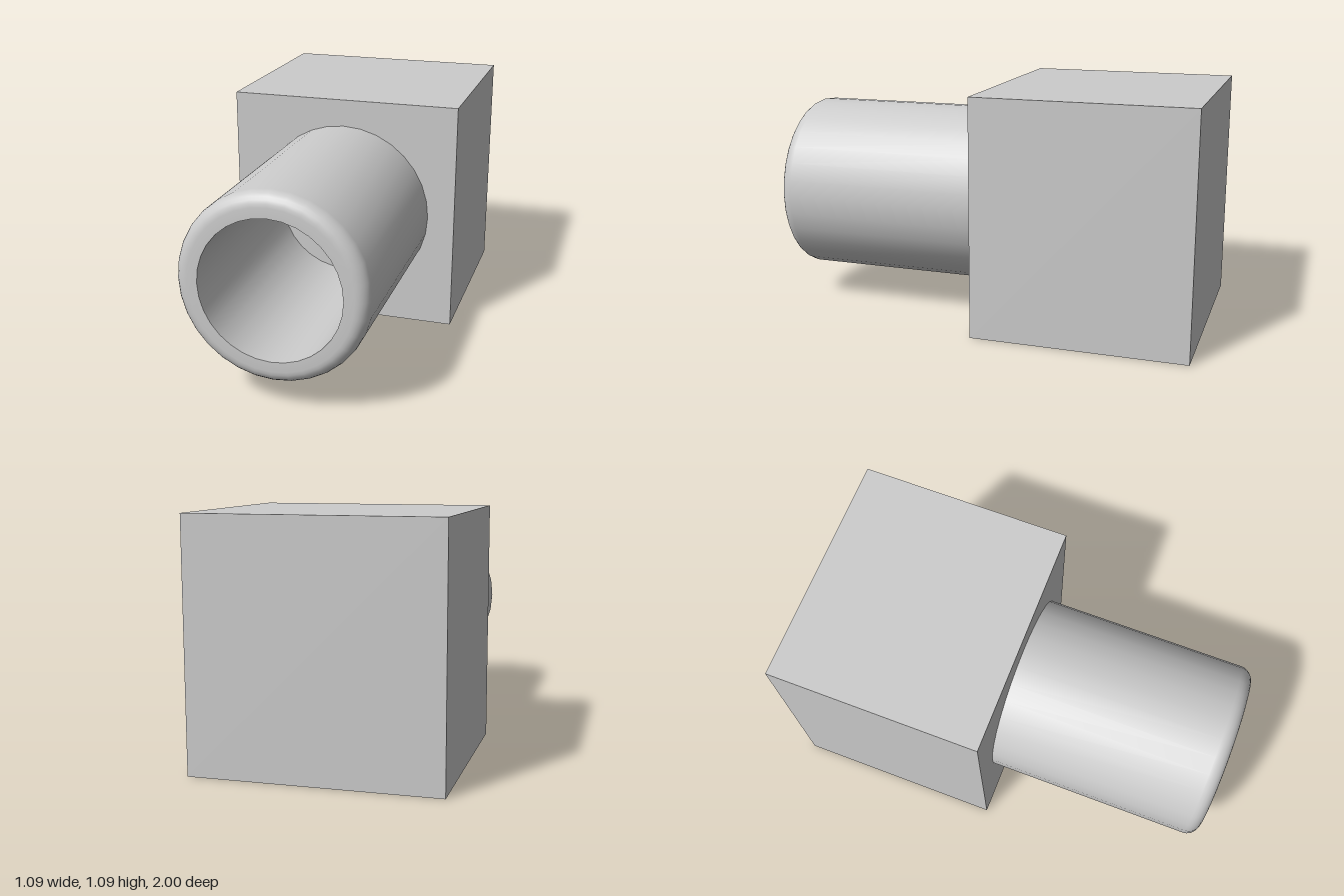
import * as THREE from 'three';
import { toCreasedNormals } from 'three/addons/utils/BufferGeometryUtils.js';

const SIZE = 1.09;       // width and height of the block
const BACK = -1, FACE = -0.015, TIP = 1;
const OUTER = 0.418, BORE = 0.313, ROUND = 0.06;

export function createModel() {
  const group = new THREE.Group();
  const material = new THREE.MeshStandardMaterial({ color: 0xcccccc });

  // Square block, whose front face closes the bore
  const block = new THREE.Mesh(new THREE.BoxGeometry(SIZE, SIZE, FACE - BACK), material);
  block.name = 'block';
  block.position.set(0, SIZE / 2, (FACE + BACK) / 2);
  group.add(block);

  // Hollow tube: outer wall, rounded lip, flat rim, then bore wall
  const profile = [new THREE.Vector2(OUTER, FACE)];
  const steps = 6;
  for (let i = 0; i <= steps; i++) {
    const a = (i / steps) * Math.PI / 2;
    profile.push(new THREE.Vector2(
      OUTER - ROUND + ROUND * Math.cos(a),
      TIP - ROUND + ROUND * Math.sin(a)
    ));
  }
  profile.push(new THREE.Vector2(BORE, TIP), new THREE.Vector2(BORE, FACE));

  const lathe = new THREE.LatheGeometry(profile, 32);
  lathe.rotateX(Math.PI / 2);
  const tube = new THREE.Mesh(toCreasedNormals(lathe, Math.PI / 5), material);
  tube.name = 'tube';
  tube.position.y = SIZE / 2;
  group.add(tube);

  return group;
}
